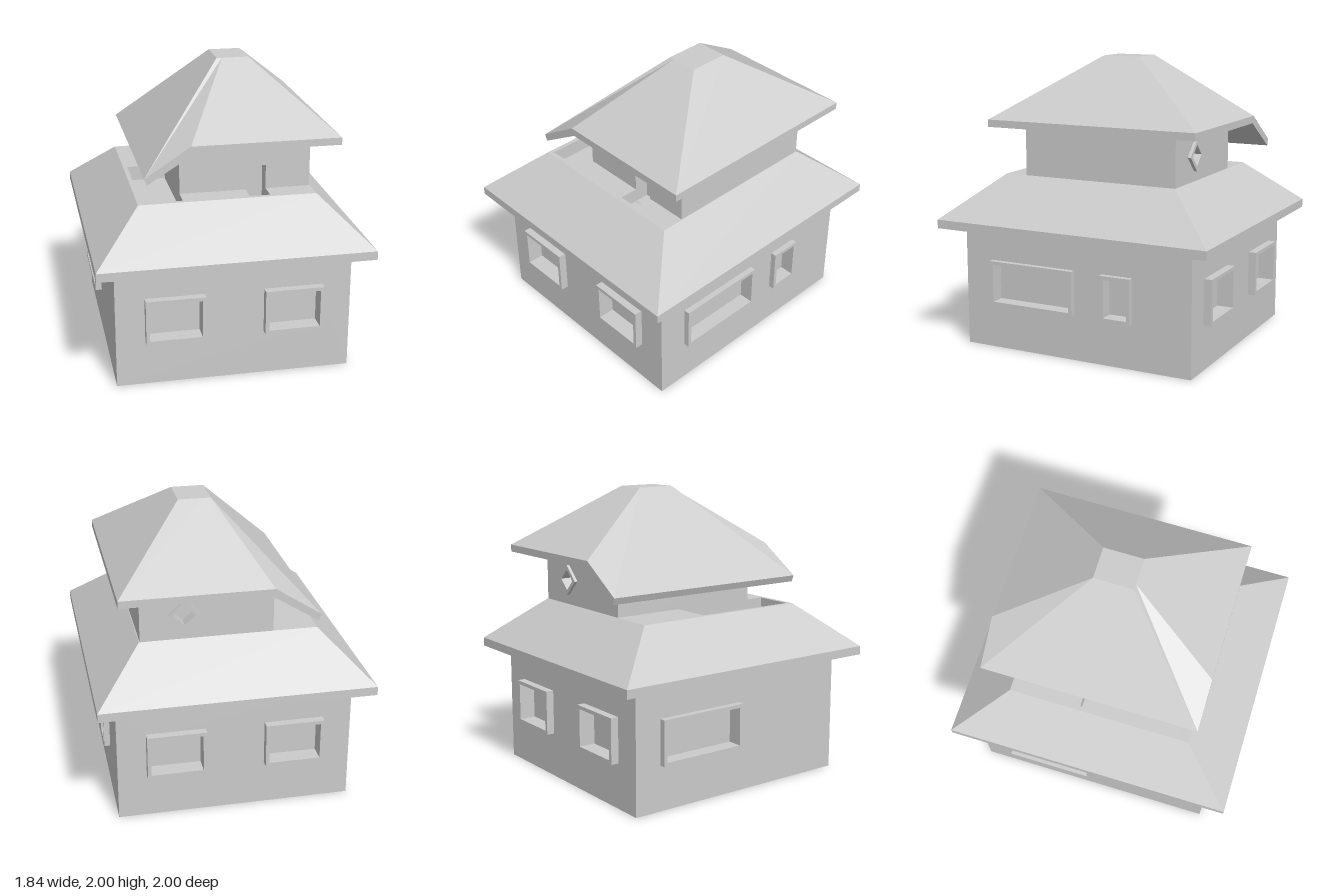
import * as THREE from 'three';

const grey = new THREE.MeshStandardMaterial({ color: 0xcccccc, flatShading: true });

function add(parent, geometry, name, x = 0, y = 0, z = 0) {
  const mesh = new THREE.Mesh(geometry, grey);
  mesh.name = name;
  mesh.position.set(x, y, z);
  parent.add(mesh);
  return mesh;
}

// Box given by its limits on each axis
function block(parent, name, x0, x1, y0, y1, z0, z1) {
  const g = new THREE.BoxGeometry(x1 - x0, y1 - y0, z1 - z0);
  return add(parent, g, name, (x0 + x1) / 2, (y0 + y1) / 2, (z0 + z1) / 2);
}

const rect = (x0, x1, y0, y1, inset = 0) => [
  [x0 + inset, y0 + inset], [x1 - inset, y0 + inset],
  [x1 - inset, y1 - inset], [x0 + inset, y1 - inset],
].map(p => new THREE.Vector2(...p));

const diamond = (x, y, r) => [[x, y - r], [x + r, y], [x, y + r], [x - r, y]]
  .map(p => new THREE.Vector2(...p));

// Flat panel with holes, extruded along +z
function panel(outline, holes, depth) {
  const shape = new THREE.Shape(outline);
  holes.forEach(h => shape.holes.push(new THREE.Path(h)));
  return new THREE.ExtrudeGeometry(shape, { depth, bevelEnabled: false });
}

// Solid skinned over rings of equal point count, listed bottom to top
function loft(rings, capTop) {
  const n = rings[0].length, index = [];
  rings.slice(1).forEach((_, r) => {
    for (let i = 0; i < n; i++) {
      const j = (i + 1) % n, a = r * n, b = a + n;
      index.push(a + i, a + j, b + j, a + i, b + j, b + i);
    }
  });
  const top = (rings.length - 1) * n;
  for (let k = 1; k < n - 1; k++) {
    const i = (1 + k) % n, j = (2 + k) % n;
    index.push(1, j, i);
    if (capTop) index.push(top + 1, top + i, top + j);
  }
  const g = new THREE.BufferGeometry();
  g.setAttribute('position', new THREE.Float32BufferAttribute(rings.flat(2), 3));
  g.setIndex(index);
  const flat = g.toNonIndexed();
  flat.computeVertexNormals();
  return flat;
}

// Wall whose outer face is local z = 0, with framed openings
function facade(parent, name, wall, openings, thickness, frameDepth) {
  const group = new THREE.Group();
  group.name = name;
  add(group, panel(wall, openings.map(o => o.inner), thickness), name + 'Panel', 0, 0, -thickness);
  openings.filter(o => o.outer).forEach(o =>
    add(group, panel(o.outer, [o.inner], frameDepth), 'windowFrame'));
  parent.add(group);
  return group;
}

const windowAt = (x0, x1) => ({
  outer: rect(x0, x1, 0.31, 0.62),
  inner: rect(x0, x1, 0.31, 0.62, 0.025),
});

export function createModel() {
  const house = new THREE.Group();
  house.name = 'house';

  // Ground storey: solid core that backs the windows, wrapped in four walls
  const X = 0.795, Z = 0.85, T = 0.06, H = 0.86;
  block(house, 'groundCore', -X + T, X - T, 0, H, -Z + T, Z - T);
  const pair = [windowAt(-0.6, -0.2), windowAt(0.2, 0.6)];
  const endWall = rect(-X, X, 0, H), sideWall = rect(-Z + T, Z - T, 0, H);
  facade(house, 'frontWall', endWall, pair, T, 0.055).position.z = Z;
  const back = facade(house, 'backWall', endWall, pair, T, 0.055);
  back.position.z = -Z;
  back.rotation.y = Math.PI;
  const left = facade(house, 'leftWall', sideWall, [windowAt(-0.64, 0), windowAt(0.21, 0.43)], T, 0.04);
  left.position.x = X;
  left.rotation.y = Math.PI / 2;
  const right = facade(house, 'rightWall', sideWall, [windowAt(-0.66, -0.01)], T, 0.045);
  right.position.x = -X;
  right.rotation.y = -Math.PI / 2;

  // Lower hipped roof
  const ring = (x, y, z) => [[-x, y, z], [x, y, z], [x, y, -z], [-x, y, -z]];
  add(house, loft([ring(0.922, 0.83, 1), ring(0.922, 0.89, 1), ring(0.6, 1.19, 0.64)], false), 'lowerRoof');

  // Roof deck with a sunken terrace and a well before the door
  const deck = panel(rect(-0.6, 0.6, -0.64, 0.64),
    [rect(-0.57, -0.3, -0.61, 0.14), rect(0.15, 0.29, -0.61, -0.37)], 0.1);
  deck.rotateX(-Math.PI / 2);
  add(house, deck, 'roofDeck', 0, 1.09, 0);
  block(house, 'terraceFloor', -0.6, 0.6, 1.05, 1.09, -0.64, 0.64);

  // Upper storey with a door in front and a diamond window behind
  block(house, 'upperCore', -0.3, 0.595, 1.09, 1.53, -0.58, 0.38);
  const door = { inner: rect(0.15, 0.29, 1.092, 1.355) };
  facade(house, 'upperFrontWall', rect(-0.3, 0.595, 1.09, 1.53), [door], 0.1, 0).position.z = 0.48;
  const lookout = { outer: diamond(-0.3, 1.365, 0.105), inner: diamond(-0.3, 1.365, 0.072) };
  const upperBack = facade(house, 'upperBackWall', rect(-0.595, 0.3, 1.09, 1.53), [lookout], 0.06, 0.022);
  upperBack.position.z = -0.64;
  upperBack.rotation.y = Math.PI;

  // Upper roof: its right eave folds downward over the terrace
  const eave = (profile, zf, zb) => [
    ...profile.map(([x, y]) => [x, y, zf]),
    ...profile.slice().reverse().map(([x, y]) => [x, y, zb]),
  ];
  add(house, loft([
    eave([[-0.545, 1.335], [-0.235, 1.53], [0.752, 1.53]], 0.68, -0.845),
    eave([[-0.563, 1.38], [-0.255, 1.58], [0.752, 1.58]], 0.68, -0.845),
    eave([[0.038, 2], [0.075, 2], [0.26, 2]], 0.055, -0.22),
  ], true), 'upperRoof');

  return house;
}
